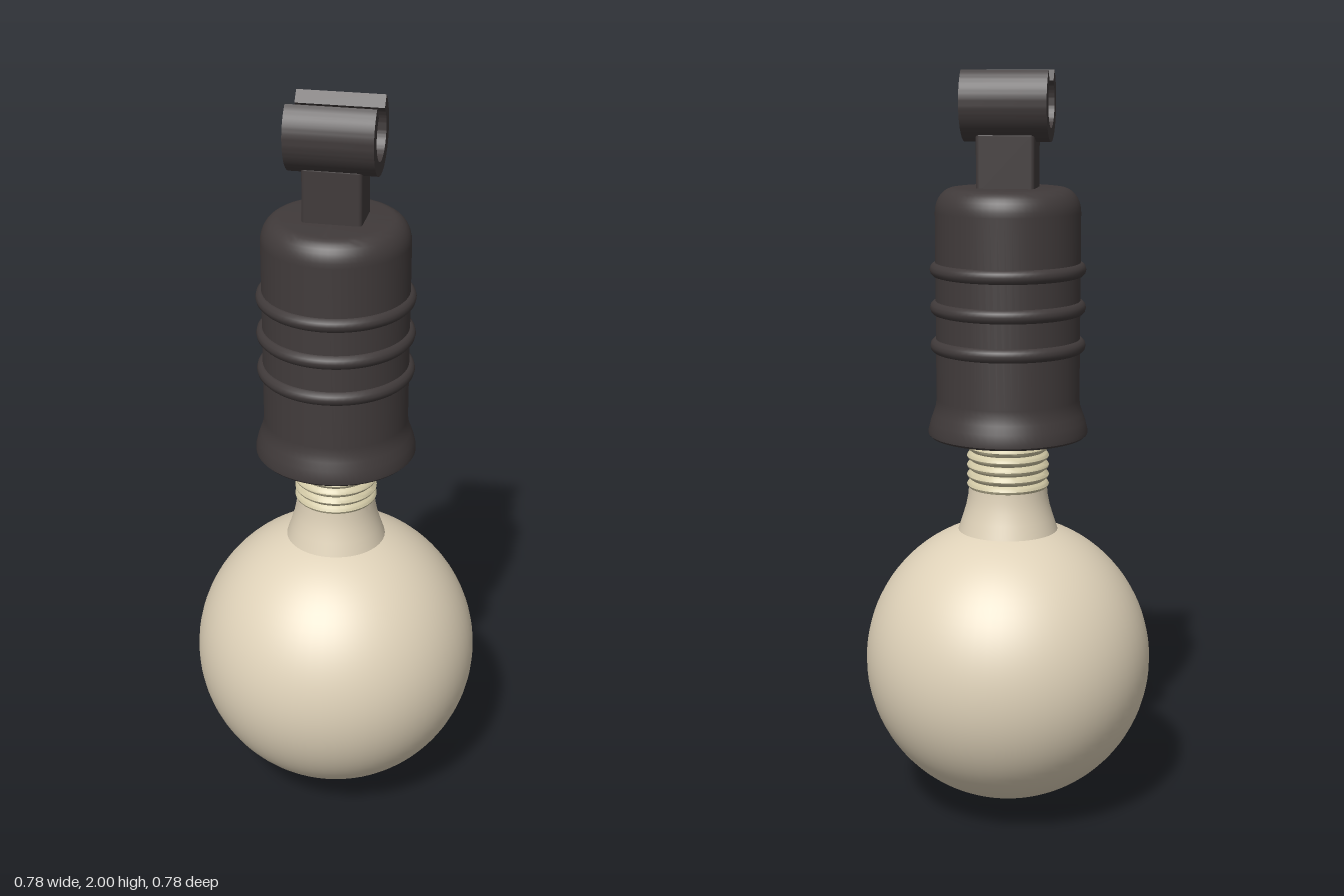
import * as THREE from 'three';
import { toCreasedNormals } from 'three/addons/utils/BufferGeometryUtils.js';
import { RoundedBoxGeometry } from 'three/addons/geometries/RoundedBoxGeometry.js';

const material = (name, color) => {
  const m = new THREE.MeshStandardMaterial({ color });
  m.name = name;
  return m;
};

export function createModel() {
  const rubber = material('dark rubber', 0x403a3a);
  const glass = material('cream glass', 0xdfd2b9);
  const metal = material('pale metal', 0xd2c9a6);

  const group = new THREE.Group();
  const add = (name, geometry, mat, y = 0) => {
    const mesh = new THREE.Mesh(geometry, mat);
    mesh.name = name;
    mesh.position.y = y;
    group.add(mesh);
    return mesh;
  };
  // profile is a list of [radius, height] running from bottom to top
  const lathe = (profile) => toCreasedNormals(
    new THREE.LatheGeometry(profile.map(([r, y]) => new THREE.Vector2(r, y)), 64), 0.7);

  // Globe, tip and neck
  add('globe', new THREE.SphereGeometry(0.388, 64, 48), glass, 0.425);
  add('tip', new THREE.SphereGeometry(0.024, 20, 14), glass, 0.024);
  add('neck', lathe([
    [0.138, 0.775], [0.132, 0.795], [0.122, 0.825], [0.113, 0.855], [0.107, 0.885], [0.105, 0.91],
  ]), glass);

  // Screw thread with rounded ridges
  const thread = [[0, 0.9], [0.1, 0.9]];
  const ridges = 6, pitch = 0.026, steps = 6;
  for (let i = 0; i <= ridges * steps; i++) {
    const wave = Math.abs(Math.sin((i / steps) * Math.PI));
    thread.push([0.098 + 0.012 * wave, 0.902 + (i / steps) * pitch]);
  }
  add('screwThread', lathe(thread), metal);

  // Socket body with flared skirt and rounded shoulder
  const body = [
    [0, 1.05], [0.206, 1.05], [0.212, 1.056], [0.212, 1.066],
    [0.206, 1.09], [0.198, 1.112], [0.192, 1.13], [0.19, 1.15], [0.19, 1.64],
  ];
  for (let i = 1; i <= 8; i++) {
    const a = (i / 8) * Math.PI / 2;
    body.push([0.14 + 0.05 * Math.cos(a), 1.64 + 0.063 * Math.sin(a)]);
  }
  body.push([0, 1.703]);
  add('socketBody', lathe(body), rubber);

  // Grip rings
  for (const y of [1.292, 1.392, 1.492]) {
    const ring = new THREE.TorusGeometry(0.186, 0.019, 12, 64);
    ring.rotateX(Math.PI / 2);
    add('gripRing', ring, rubber, y);
  }

  // Hanger block
  add('hangerBlock', new RoundedBoxGeometry(0.152, 0.16, 0.118, 3, 0.01), rubber, 1.765);

  // Open clip: a C-shaped section extruded sideways, gap facing up
  const gap = 0.66, start = Math.PI / 2 + gap, end = Math.PI * 2.5 - gap;
  const section = new THREE.Shape();
  section.absarc(0, 0, 0.101, start, end, false);
  section.absarc(0, 0, 0.066, end, start, true);
  section.closePath();
  const clip = new THREE.ExtrudeGeometry(section, { depth: 0.224, bevelEnabled: false, curveSegments: 40 });
  clip.translate(0, 0, -0.112);
  clip.rotateY(Math.PI / 2);
  add('clip', toCreasedNormals(clip, 0.6), rubber, 1.92);

  return group;
}
